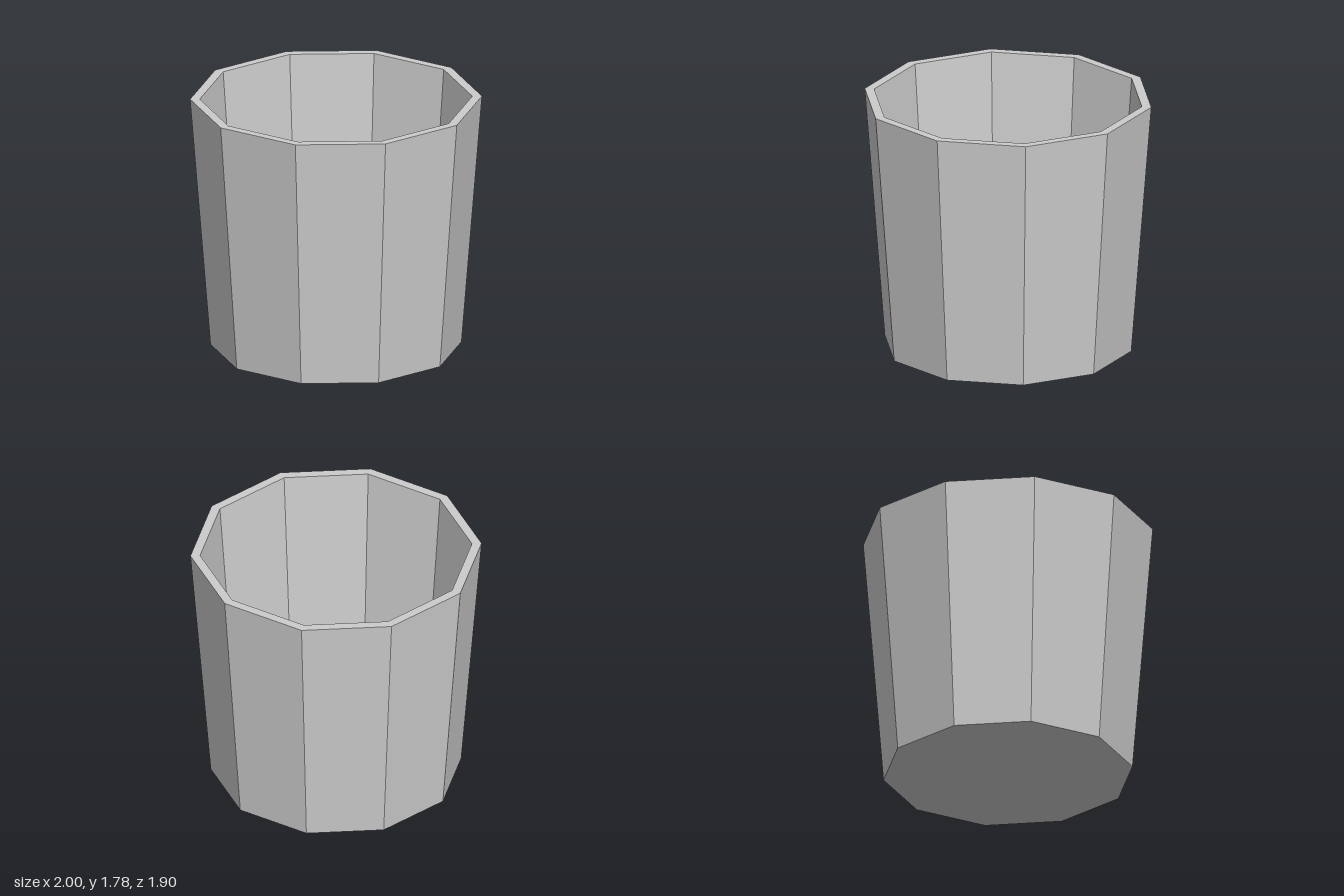
import * as THREE from 'three';

export function createModel() {
  const group = new THREE.Group();
  group.name = 'taperedCup';
  const material = new THREE.MeshStandardMaterial({ color: 0xcccccc, flatShading: true });

  const sides = 10;
  const height = 1.785;
  const floorY = 0.08;

  // Builds a ten-sided shell from [radius, y] pairs, with a corner on the x axis
  const addShell = (name, profile) => {
    const points = profile.map(([r, y]) => new THREE.Vector2(r, y));
    const geometry = new THREE.LatheGeometry(points, sides, Math.PI / 2);
    const mesh = new THREE.Mesh(geometry, material);
    mesh.name = name;
    group.add(mesh);
  };

  // Profiles run from the outside up and over the rim, then down to the inner floor
  addShell('base', [[0, 0], [0.86, 0]]);
  addShell('outerWall', [[0.86, 0], [1, height]]);
  addShell('rim', [[1, height], [0.934, height]]);
  addShell('innerWall', [[0.934, height], [0.803, floorY]]);
  addShell('innerFloor', [[0.803, floorY], [0, floorY]]);

  return group;
}
